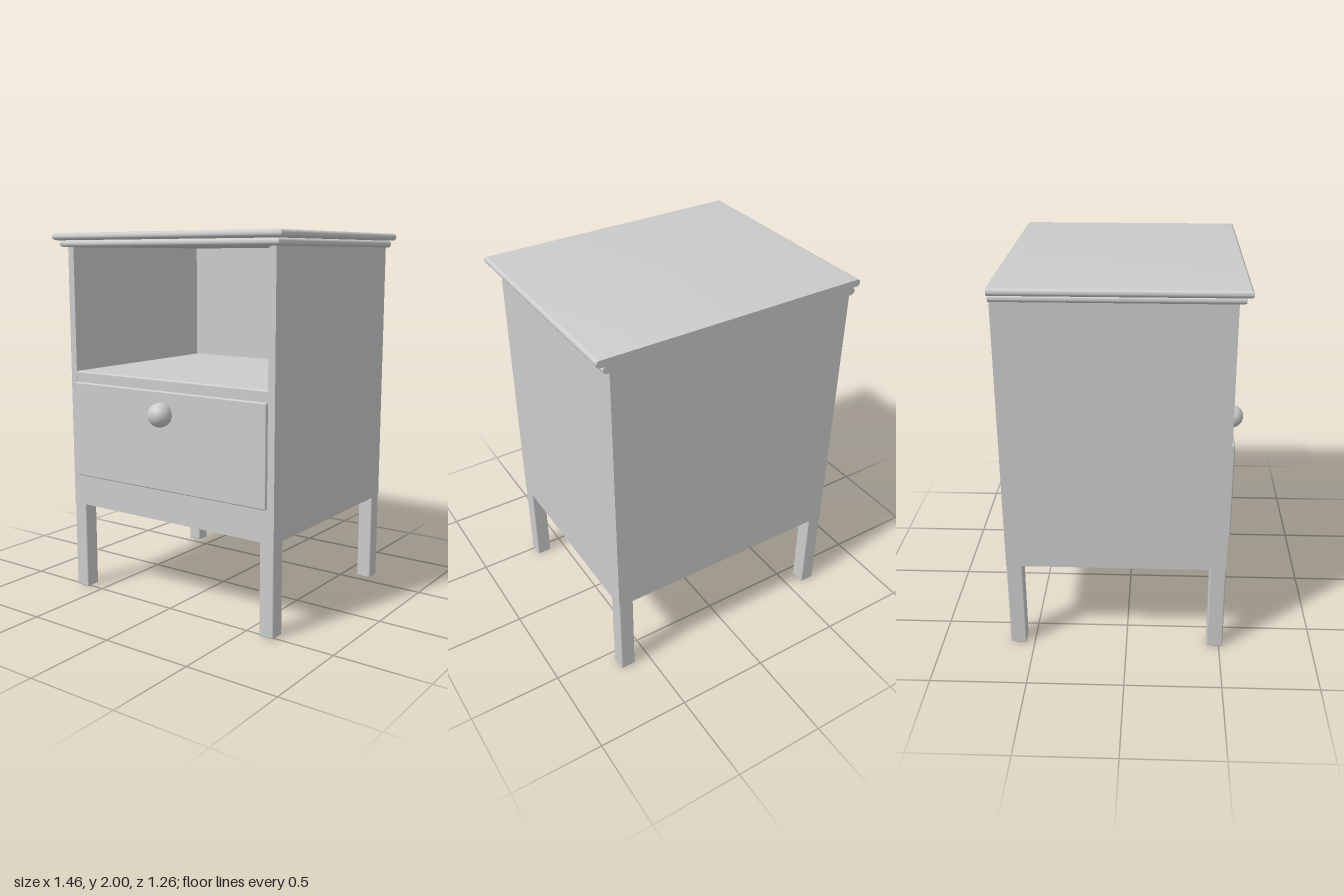
import * as THREE from 'three';
import { toCreasedNormals } from 'three/addons/utils/BufferGeometryUtils.js';
import { RoundedBoxGeometry } from 'three/addons/geometries/RoundedBoxGeometry.js';

const grey = new THREE.MeshStandardMaterial({ color: 0xcccccc });
const BACK = -0.63, FRONT = 0.52, HALF = 0.67, BOTTOM = 0.49, UNDER_TOP = 1.925;

export function createModel() {
  const group = new THREE.Group();
  const add = (name, geometry, x = 0, y = 0, z = 0) => {
    const mesh = new THREE.Mesh(geometry, grey);
    mesh.name = name;
    mesh.position.set(x, y, z);
    group.add(mesh);
  };
  // Box given by its limits, with optional rounded edges
  const box = (name, x0, x1, y0, y1, z0, z1, r = 0) => {
    const size = [x1 - x0, y1 - y0, z1 - z0];
    const geometry = r ? new RoundedBoxGeometry(...size, 3, r) : new THREE.BoxGeometry(...size);
    add(name, geometry, (x0 + x1) / 2, (y0 + y1) / 2, (z0 + z1) / 2);
  };

  // Cabinet: closed drawer case below, open compartment above
  box('drawerCase', -0.63, 0.63, BOTTOM, 1.2, BACK, FRONT);
  box('shelf', -0.635, 0.635, 1.19, 1.25, BACK + 0.01, FRONT, 0.01);
  box('backPanel', -0.63, 0.63, 1.2, UNDER_TOP, BACK, BACK + 0.045);
  for (const [side, s] of [['left', 1], ['right', -1]]) {
    const a = s * 0.63, b = s * HALF;
    box(side + 'SidePanel', Math.min(a, b), Math.max(a, b), BOTTOM, UNDER_TOP, BACK, FRONT);
    // Square legs, softened along the edges
    const inner = s * 0.588;
    for (const [end, z0, z1] of [['Front', 0.435, FRONT], ['Back', BACK, -0.545]])
      box(side + end + 'Leg', Math.min(inner, b), Math.max(inner, b), 0, BOTTOM + 0.012, z0, z1, 0.007);
  }

  // Drawer
  box('drawerFront', -0.63, 0.63, 0.66, 1.19, FRONT - 0.02, 0.537, 0.008);
  add('drawerKnob', new THREE.SphereGeometry(0.064, 32, 20), 0, 1.072, 0.566);

  // Stepped top with rounded noses
  add('topMoulding', nosedSlab(0.702, 0.552, UNDER_TOP, 1.962));
  add('tableTop', nosedSlab(0.732, 0.58, 1.962, 2));
  return group;
}

// Slab with a half-round nose on the front and sides, flat at the back
function nosedSlab(halfWidth, front, y0, y1) {
  const r = (y1 - y0) / 2, steps = 10, pos = [];
  const rings = [];
  for (let i = 0; i <= steps; i++) {
    const a = -Math.PI / 2 + (Math.PI * i) / steps;
    const inset = r * (1 - Math.cos(a)), y = (y0 + y1) / 2 + r * Math.sin(a);
    const x = halfWidth - inset, z = front - inset;
    rings.push([[-x, y, z], [x, y, z], [x, y, BACK], [-x, y, BACK]]);
  }
  const quad = (a, b, c, d) => pos.push(...a, ...b, ...c, ...a, ...c, ...d);
  for (let i = 0; i < steps; i++)
    for (let k = 0; k < 4; k++) {
      const n = (k + 1) % 4;
      quad(rings[i][k], rings[i][n], rings[i + 1][n], rings[i + 1][k]);
    }
  quad(...rings[steps]);
  quad(...[...rings[0]].reverse());
  const geometry = new THREE.BufferGeometry();
  geometry.setAttribute('position', new THREE.Float32BufferAttribute(pos, 3));
  return toCreasedNormals(geometry, 0.6);
}
